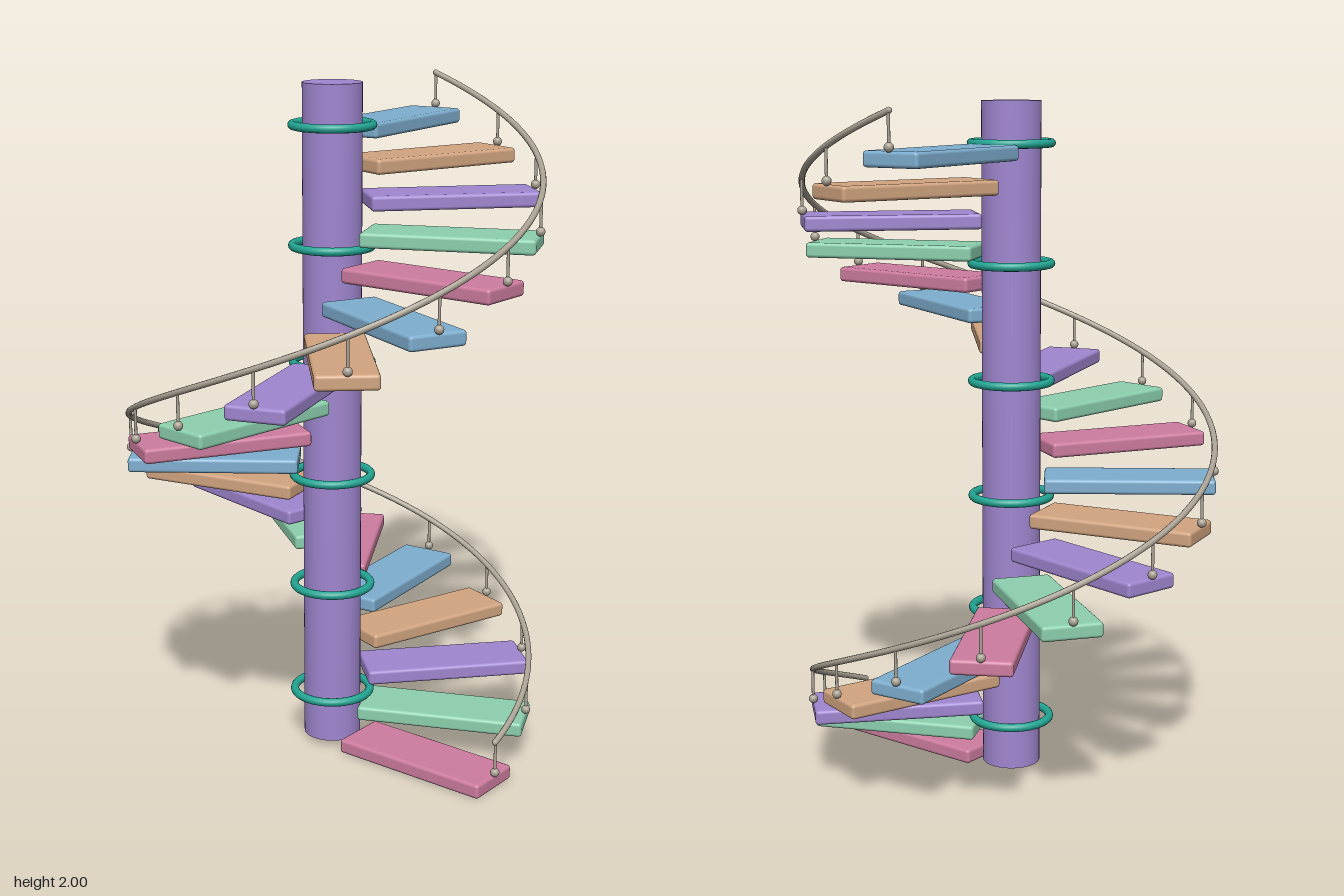
import * as THREE from 'three';
import { RoundedBoxGeometry } from 'three/addons/geometries/RoundedBoxGeometry.js';

const STEPS = 20;
const TURN = THREE.MathUtils.degToRad(24); // angle between treads
const RISE = 0.0966;                       // height between treads
const FIRST_Y = 0.022;
const RAIL_R = 0.598;
const RAIL_Y = 0.148;                      // rail height at the first tread

function material(name, hex) {
  const m = new THREE.MeshStandardMaterial({ color: hex });
  m.name = name;
  return m;
}

// Point on a rising spiral; t counts treads
function spiral(t, radius, baseY) {
  return new THREE.Vector3(
    radius * Math.cos(t * TURN), baseY + t * RISE, -radius * Math.sin(t * TURN));
}

class Spiral extends THREE.Curve {
  getPoint(t, target = new THREE.Vector3()) {
    return target.copy(spiral(t * (STEPS - 1), RAIL_R, RAIL_Y));
  }
}

export function createModel() {
  const purple = material('purple', 0x9f86cf);
  const treadColors = [
    material('pink', 0xcd7c9f),
    material('green', 0x8ccfae),
    purple,
    material('tan', 0xd1a480),
    material('blue', 0x7eaecf),
  ];
  const teal = material('teal', 0x22a593);
  const metal = material('warm grey', 0xaaa294);

  const model = new THREE.Group();
  model.name = 'spiralStaircase';
  const add = (name, geometry, mat, position) => {
    const mesh = new THREE.Mesh(geometry, mat);
    mesh.name = name;
    if (position) mesh.position.copy(position);
    model.add(mesh);
    return mesh;
  };

  // Central column
  add('column', new THREE.CylinderGeometry(0.086, 0.086, 1.982, 40), purple,
    new THREE.Vector3(0, 1.009, 0));

  // Collar rings around the column
  const ringGeo = new THREE.TorusGeometry(0.115, 0.0125, 12, 48).rotateX(Math.PI / 2);
  for (let i = 0; i < 6; i++) {
    add('collarRing', ringGeo, teal, new THREE.Vector3(0, 0.158 + i * 0.3445, 0));
  }

  // Treads, each with a baluster and a small ball at its foot
  const treadGeo = new RoundedBoxGeometry(0.502, 0.044, 0.177, 3, 0.01);
  treadGeo.translate(0.349, 0, 0);
  const ballGeo = new THREE.SphereGeometry(0.0135, 16, 12);
  const postLength = RAIL_Y - FIRST_Y - 0.03;
  const postGeo = new THREE.CylinderGeometry(0.0045, 0.0045, postLength, 10);
  postGeo.translate(0, postLength / 2, 0);
  for (let i = 0; i < STEPS; i++) {
    const tread = add('tread', treadGeo, treadColors[i % 5], spiral(i, 0, FIRST_Y));
    tread.rotation.y = i * TURN;
    const foot = spiral(i, 0.6, FIRST_Y + 0.032);
    add('balusterBall', ballGeo, metal, foot);
    add('baluster', postGeo, metal, foot);
  }

  // Handrail with closed ends
  add('handrail', new THREE.TubeGeometry(new Spiral(), 240, 0.009, 10, false), metal);
  const capGeo = new THREE.SphereGeometry(0.009, 10, 8);
  for (const t of [0, STEPS - 1]) add('handrailEnd', capGeo, metal, spiral(t, RAIL_R, RAIL_Y));

  model.position.x = -0.006;
  return model;
}
